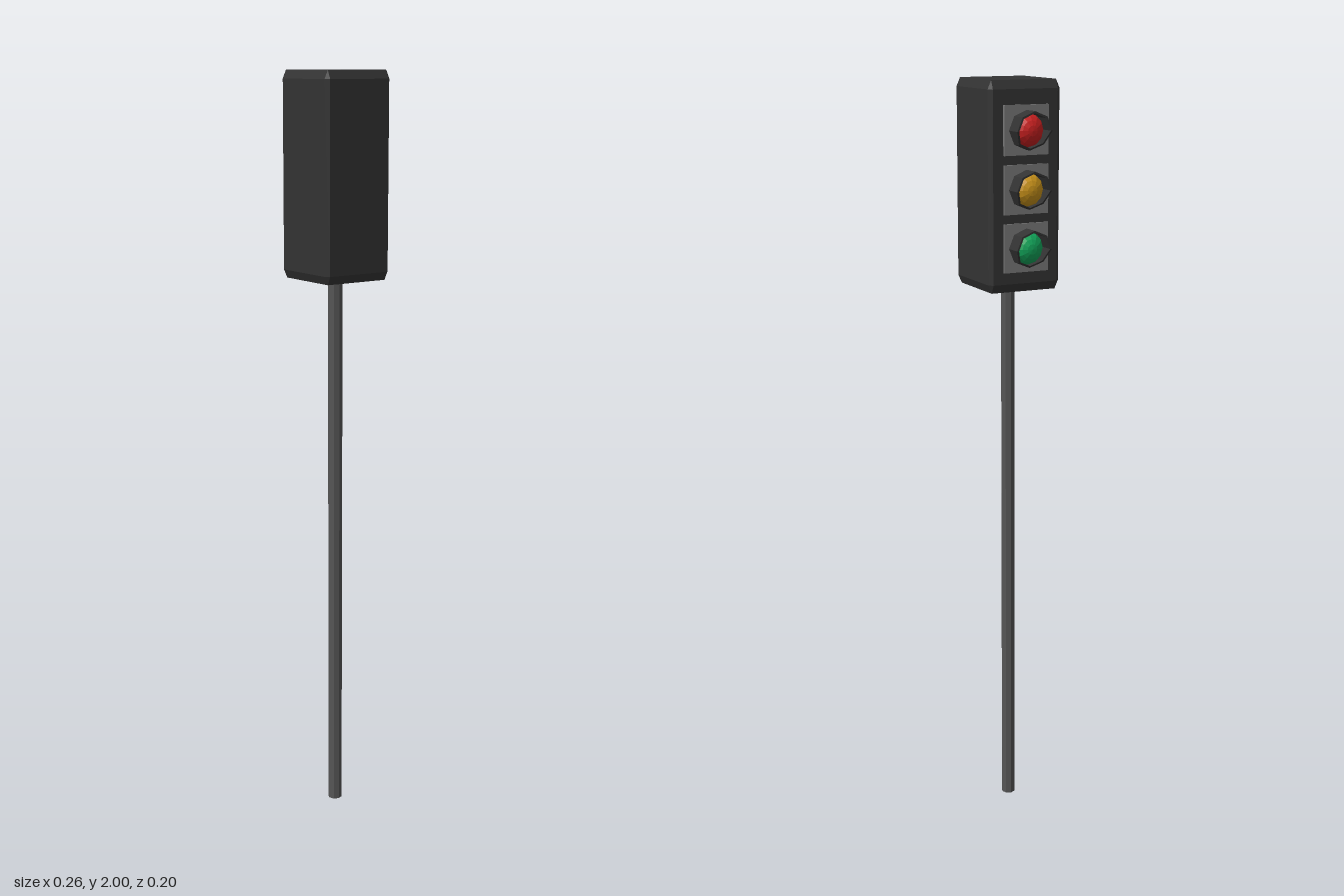
import * as THREE from 'three';
import { ConvexGeometry } from 'three/addons/geometries/ConvexGeometry.js';

const paint = (color, side = THREE.FrontSide) =>
  new THREE.MeshStandardMaterial({ color, flatShading: true, side });

function add(parent, name, geometry, material, x, y, z) {
  const mesh = new THREE.Mesh(geometry, material);
  mesh.name = name;
  mesh.position.set(x, y, z);
  parent.add(mesh);
  return mesh;
}

// Box with every edge cut by a flat bevel (bx, by, bz = inset along each axis)
function bevelledBox(w, h, d, bx, by, bz) {
  const points = [];
  for (const sx of [-1, 1]) for (const sy of [-1, 1]) for (const sz of [-1, 1]) {
    const x = w / 2, y = h / 2, z = d / 2;
    points.push(
      new THREE.Vector3(sx * x, sy * (y - by), sz * (z - bz)),
      new THREE.Vector3(sx * (x - bx), sy * y, sz * (z - bz)),
      new THREE.Vector3(sx * (x - bx), sy * (y - by), sz * z));
  }
  return new ConvexGeometry(points);
}

// Eight-sided hood pointing along -x, its lower half cut back
function visorGeometry(radius, length) {
  const inner = radius - 0.005;
  const profile = [[inner, 0], [radius, 0], [radius, length], [inner, length], [inner, 0]]
    .map(([r, y]) => new THREE.Vector2(r, y));
  const geometry = new THREE.LatheGeometry(profile, 8);
  geometry.rotateZ(Math.PI / 2);
  const p = geometry.attributes.position;
  for (let i = 0; i < p.count; i++) {
    const drop = Math.max(0, -p.getY(i) / radius);
    if (p.getX(i) < -length / 2) p.setX(i, -length * (1 - 0.6 * drop));
  }
  return geometry;
}

export function createModel() {
  const model = new THREE.Group();
  model.name = 'trafficLight';
  const dark = paint(0x333333);
  const hood = paint(0x333333, THREE.DoubleSide);
  const plateGrey = paint(0x777777);

  // Pole and signal box
  add(model, 'pole', new THREE.CylinderGeometry(0.019, 0.019, 1.48, 8), paint(0x555555), 0.024, 0.74, 0);
  add(model, 'housing', bevelledBox(0.204, 0.53, 0.2, 0.01, 0.022, 0.01), dark, 0.025, 1.735, 0);

  // Three lamps on the -x face, each with a plate, lens and visor
  const lamps = [['red', 0xc82020, 1.878], ['amber', 0xc8921a, 1.731], ['green', 0x12a55a, 1.584]];
  const visor = visorGeometry(0.049, 0.047);
  const lens = new THREE.SphereGeometry(0.043, 12, 5, 0, Math.PI * 2, 0, Math.PI / 2);
  lens.scale(1, 0.85, 1);
  lens.rotateZ(Math.PI / 2);
  for (const [name, color, y] of lamps) {
    const lamp = new THREE.Group();
    lamp.name = name + 'Lamp';
    lamp.position.set(-0.083, y, 0);
    add(lamp, 'plate', new THREE.BoxGeometry(0.01, 0.124, 0.124), plateGrey, 0.005, 0, 0);
    add(lamp, 'visor', visor, hood, 0, 0, 0);
    add(lamp, 'lens', lens, paint(color), 0, 0, 0);
    model.add(lamp);
  }
  return model;
}
